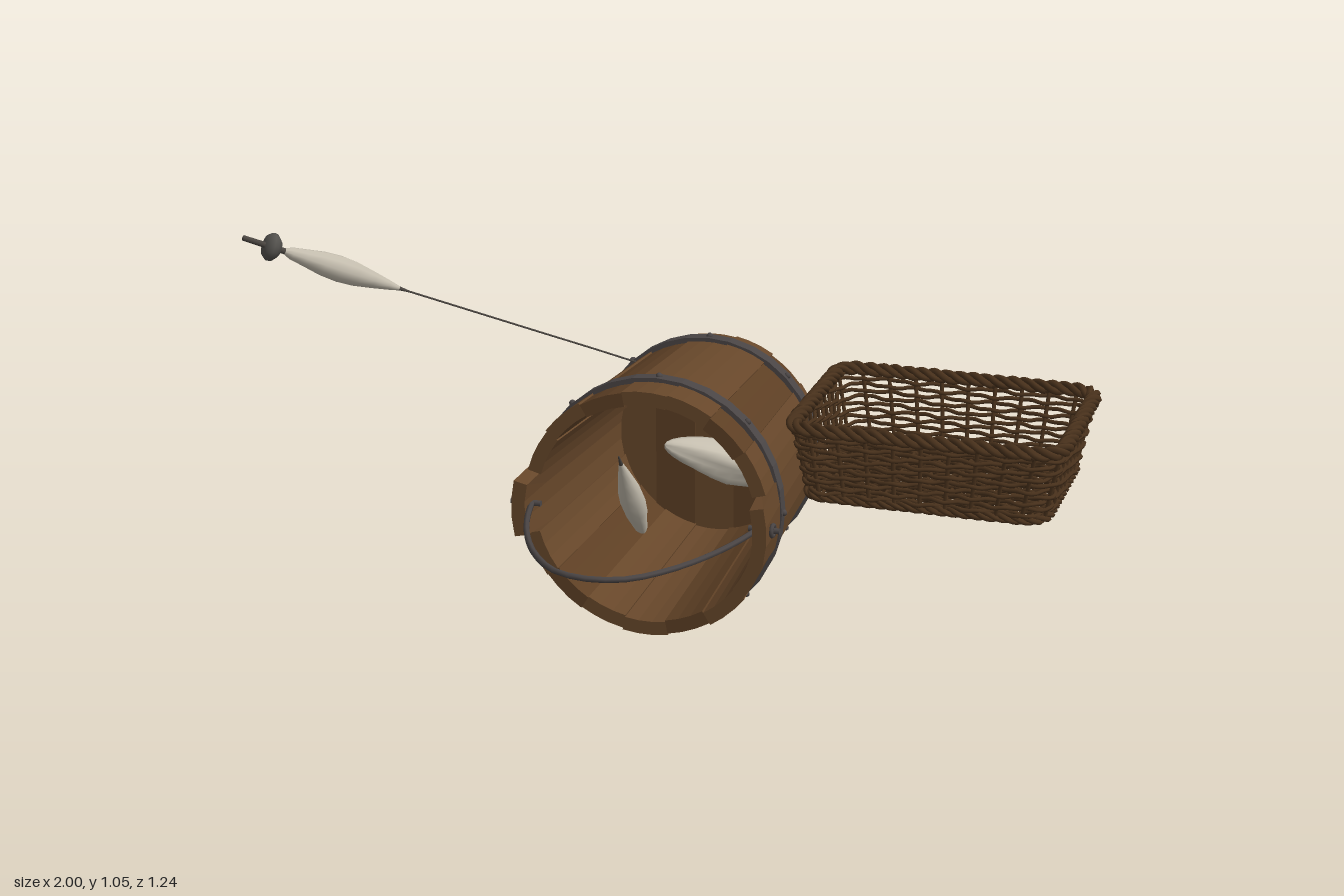
import * as THREE from 'three';
import { mergeGeometries } from 'three/addons/utils/BufferGeometryUtils.js';

const mat = (name, color, side = THREE.FrontSide) => {
  const m = new THREE.MeshStandardMaterial({ color, side });
  m.name = name;
  return m;
};
const V = (x, y, z) => new THREE.Vector3(x, y, z);

export function createModel() {
  const wood = mat('oakWood', 0x67472a);
  const woodDark = mat('darkOakWood', 0x5d3f24);
  const iron = mat('iron', 0x4a4545);
  const wicker = mat('wicker', 0x4a321c);
  const wool = mat('wool', 0xc4bdae);
  const stone = mat('spindleStone', 0x55534f);
  const stick = mat('spindleStick', 0x4a4540);

  const model = new THREE.Group();
  const add = (parent, name, geo, m) => {
    const mesh = new THREE.Mesh(geo, m);
    mesh.name = name;
    parent.add(mesh);
    return mesh;
  };
  const tube = (pts, r, n, sides = 5, closed = false) =>
    new THREE.TubeGeometry(new THREE.CatmullRomCurve3(pts, closed), n, r, sides, closed);

  // ---- Bucket lying on its side, mouth towards +z ----
  const bucket = new THREE.Group();
  bucket.name = 'bucket';
  bucket.position.set(-0.04, 0.337, 0);
  model.add(bucket);
  const radiusAt = z => 0.3155 + 0.059 * z;

  // one curved stave: box x -> angle, y -> radius, z -> length
  const stave = (mid, width, z1, bump, endScale) => {
    const g = new THREE.BoxGeometry(1, 1, 1, 3, 1, 5).toNonIndexed();
    const p = g.attributes.position;
    for (let i = 0; i < p.count; i++) {
      const t = p.getZ(i) + 0.5;
      const z = -0.455 + t * (z1 + 0.455);
      const a = mid - p.getX(i) * width * (t > 0.99 ? endScale : 1);
      const r = radiusAt(z) + (p.getY(i) > 0 ? bump : -0.036 + bump);
      p.setXYZ(i, r * Math.cos(a), r * Math.sin(a), z);
    }
    g.computeVertexNormals();
    return g;
  };
  const lugWidth = 0.54, perSide = 7;
  const step = (Math.PI - lugWidth) / perSide;
  for (let s = 0; s < 2; s++) {
    add(bucket, 'handleStave', stave(s * Math.PI, lugWidth, 0.225, 0.007, 0.84), wood);
    for (let i = 0; i < perSide; i++) {
      const mid = s * Math.PI + lugWidth / 2 + (i + 0.5) * step;
      const bump = [0.002, -0.002, 0.003, 0, -0.003][(i + s * 2) % 5];
      add(bucket, 'stave', stave(mid, step, 0.165, bump, 1), i % 3 === 1 ? woodDark : wood);
    }
  }

  // bottom made of boards cut to a circle
  const R = 0.272, cuts = [-R, -0.16, -0.05, 0.06, 0.17, R];
  for (let i = 0; i < 5; i++) {
    const pts = [], n = 8;
    for (let k = 0; k <= 2 * n + 1; k++) {
      const low = k <= n, f = (low ? k : 2 * n + 1 - k) / n;
      const x = THREE.MathUtils.lerp(cuts[i], cuts[i + 1], f);
      const y = Math.sqrt(Math.max(0, R * R - x * x)) + 0.0005;
      pts.push(new THREE.Vector2(x, low ? -y : y));
    }
    const g = new THREE.ExtrudeGeometry(new THREE.Shape(pts), { depth: 0.022, bevelEnabled: false });
    g.translate(0, 0, -0.44 + (i % 2) * 0.003);
    add(bucket, 'bottomBoard', g, i % 2 ? woodDark : wood);
  }

  // iron hoops with rivets
  for (const z of [0.045, -0.385]) {
    const w = 0.021, r0 = radiusAt(z - w), r1 = radiusAt(z + w);
    const profile = [[r0 - 0.004, -w], [r0 + 0.011, -w], [r1 + 0.011, w], [r1 - 0.004, w]];
    const g = new THREE.LatheGeometry(profile.map(p => new THREE.Vector2(...p)), 32).toNonIndexed();
    g.computeVertexNormals();
    g.rotateX(Math.PI / 2);
    g.translate(0, 0, z);
    add(bucket, 'hoop', g, iron);
    for (let i = 0; i < 8; i++) {
      const a = i * Math.PI / 4, r = radiusAt(z) + 0.011;
      const rivet = new THREE.SphereGeometry(0.009, 8, 6);
      rivet.translate(r * Math.cos(a), r * Math.sin(a), z);
      add(bucket, 'rivet', rivet, iron);
    }
  }

  // bail handle and its pins
  const bail = [[0.30, 0.17], [0.275, 0.27], [0.235, 0.38], [0.175, 0.49], [0.1, 0.575], [0.035, 0.603]];
  const bailPts = [...bail.map(([x, z]) => V(-x, 0, z)), ...bail.slice().reverse().map(([x, z]) => V(x, 0, z))];
  add(bucket, 'handle', tube(bailPts, 0.008, 24, 6), iron);
  for (const s of [-1, 1]) {
    const pin = new THREE.CylinderGeometry(0.008, 0.008, 0.08, 8);
    pin.rotateZ(Math.PI / 2);
    pin.translate(s * 0.315, 0, 0.172);
    add(bucket, 'handlePin', pin, iron);
    const ring = new THREE.TorusGeometry(0.014, 0.006, 6, 12);
    ring.rotateY(Math.PI / 2);
    ring.translate(s * 0.337, 0, 0.172);
    add(bucket, 'handleRing', ring, iron);
  }

  // ---- Wicker basket ----
  const basket = new THREE.Group();
  basket.name = 'basket';
  basket.position.set(0.628, 0, -0.267);
  model.add(basket);

  // rounded rectangle in x/z; returns a point pushed outwards by off
  const outline = (hx, hz, r) => {
    const p = new THREE.Path();
    p.moveTo(-hx + r, -hz);
    p.lineTo(hx - r, -hz);
    p.absarc(hx - r, -hz + r, r, -Math.PI / 2, 0);
    p.lineTo(hx, hz - r);
    p.absarc(hx - r, hz - r, r, 0, Math.PI / 2);
    p.lineTo(-hx + r, hz);
    p.absarc(-hx + r, hz - r, r, Math.PI / 2, Math.PI);
    p.lineTo(-hx, -hz + r);
    p.absarc(-hx + r, -hz + r, r, Math.PI, Math.PI * 1.5);
    return (u, off, y) => {
      const q = p.getPointAt(u % 1), t = p.getTangentAt(u % 1);
      return V(q.x + t.y * off, y, q.y - t.x * off);
    };
  };
  const yLow = 0.362, yTop = 0.545;
  const level = f => outline(0.31 + 0.035 * f, 0.233 + 0.025 * f, 0.06);
  const stakes = 32;

  // side weave
  const weave = [], rows = 11;
  for (let j = 0; j < rows; j++) {
    const f = (j + 0.5) / rows, at = level(f), pts = [];
    for (let k = 0; k < stakes * 4; k++) {
      const off = 0.008 * Math.cos(k / 4 * Math.PI + j * Math.PI);
      pts.push(at(k / (stakes * 4), off, THREE.MathUtils.lerp(yLow, yTop, f) + 0.002 * Math.sin(k * 1.7 + j)));
    }
    weave.push(tube(pts, 0.0055, 192, 5, true));
  }
  add(basket, 'sideWeave', mergeGeometries(weave), wicker);

  // upright stakes
  const low = level(0), top = level(1), uprights = [];
  for (let k = 0; k < stakes; k++) {
    const u = k / stakes;
    uprights.push(tube([low(u, 0, yLow - 0.01), top(u, 0, yTop)], 0.0055, 1));
  }
  add(basket, 'stakes', mergeGeometries(uprights), wicker);

  // twisted rims
  const rim = (name, at, y, offset, r, turns) => {
    const strands = [];
    for (let s = 0; s < 3; s++) {
      const pts = [];
      for (let k = 0; k < 240; k++) {
        const a = k / 240 * turns * Math.PI * 2 + s * Math.PI * 2 / 3;
        pts.push(at(k / 240, offset * Math.cos(a), y + offset * 0.8 * Math.sin(a)));
      }
      strands.push(tube(pts, r, 300, 5, true));
    }
    add(basket, name, mergeGeometries(strands), wicker);
  };
  rim('topRim', top, yTop, 0.013, 0.0095, 22);
  rim('bottomRim', low, yLow - 0.004, 0.008, 0.007, 22);

  // woven floor
  const floor = [], floorRows = 29;
  for (let i = 0; i < floorRows; i++) {
    const z = -0.225 + 0.45 * i / (floorRows - 1);
    const hx = Math.abs(z) > 0.2 ? 0.285 : 0.308, pts = [];
    for (let k = 0; k <= 28; k++) {
      pts.push(V(-hx + 2 * hx * k / 28, 0.356 + 0.006 * Math.cos(k / 2 * Math.PI + i * Math.PI), z + 0.002 * Math.sin(k * 2.1 + i * 1.3)));
    }
    floor.push(tube(pts, 0.0055, 42));
  }
  for (let i = 0; i < 8; i++) {
    const x = -0.27 + 0.54 * i / 7;
    floor.push(tube([V(x, 0.356, -0.23), V(x, 0.356, 0.23)], 0.005, 1));
  }
  add(basket, 'floorWeave', mergeGeometries(floor), wicker);

  // ---- Spindles and wool ----
  const place = (obj, from, to) => {
    obj.position.copy(from);
    obj.quaternion.setFromUnitVectors(V(0, 1, 0), to.clone().sub(from).normalize());
  };
  const lathe = (pts, n) => new THREE.LatheGeometry(pts.map(p => new THREE.Vector2(...p)), n);
  const spindle = (from, to) => {
    const g = new THREE.Group();
    g.name = 'spindle';
    add(g, 'spindleRod', lathe([[0, 0], [0.007, 0.002], [0.008, 0.1], [0.007, 0.42], [0.002, 0.47], [0, 0.47]], 8), stick);
    add(g, 'whorl', lathe([[0.007, 0.06], [0.027, 0.063], [0.036, 0.075], [0.035, 0.085], [0.022, 0.098], [0.007, 0.1]], 14), stone);
    add(g, 'spunWool', lathe([[0.008, 0.115], [0.016, 0.135], [0.022, 0.17], [0.031, 0.22], [0.034, 0.265],
      [0.031, 0.31], [0.022, 0.36], [0.013, 0.405], [0.006, 0.435]], 10), wool);
    place(g, from, to);
    model.add(g);
  };
  spindle(V(-1.0, 1.04, 0.40), V(-0.68, 0.85, 0.12));
  spindle(V(-0.19, 0.015, -0.33), V(-0.185, 0.41, -0.05));

  // thread drawn into the bucket
  add(model, 'thread', tube([V(-0.68, 0.85, 0.12), V(-0.46, 0.718, -0.085), V(-0.25, 0.592, -0.28),
    V(-0.16, 0.54, -0.35), V(-0.12, 0.51, -0.34), V(-0.11, 0.47, -0.35)], 0.0026, 30), stick);

  // ridged tufts of wool, tapered at both ends
  const tuft = (from, to, r, phase) => {
    const len = from.distanceTo(to);
    const g = new THREE.SphereGeometry(1, 20, 14);
    const p = g.attributes.position;
    for (let i = 0; i < p.count; i++) {
      const x = p.getX(i), y = p.getY(i), z = p.getZ(i), a = Math.atan2(z, x);
      const k = r * (1 + 0.12 * Math.cos(5 * a + y * 2 + phase)) * (1 - 0.25 * Math.abs(y));
      p.setXYZ(i, x * k, (y + 1) * len / 2, z * k);
    }
    g.computeVertexNormals();
    place(add(model, 'woolTuft', g, wool), from, to);
  };
  tuft(V(-0.09, 0.41, -0.15), V(0.2, 0.275, -0.35), 0.055, 0);
  tuft(V(-0.10, 0.44, -0.41), V(0.085, 0.268, -0.615), 0.064, 2);

  return model;
}
